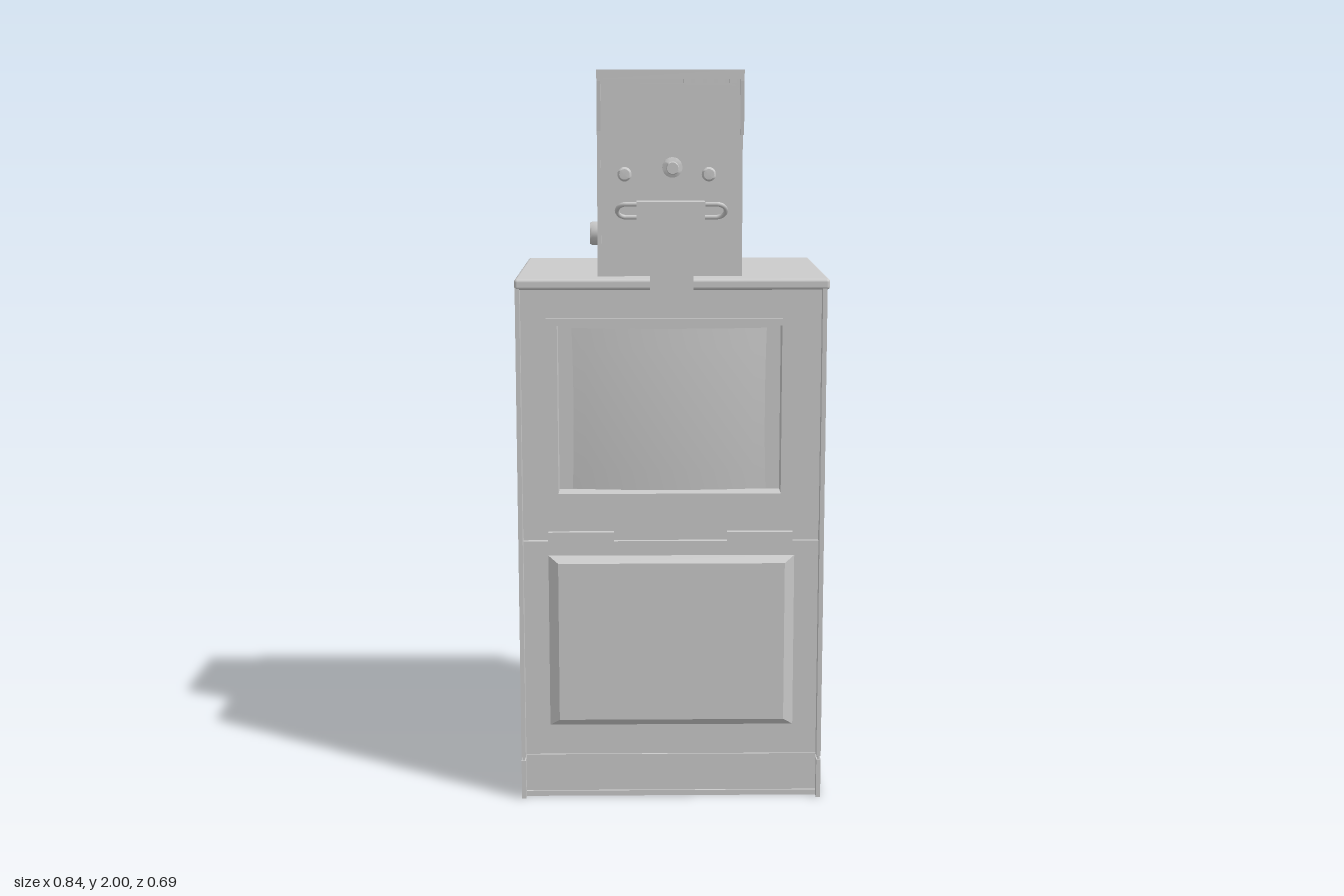
import * as THREE from 'three';
import { RoundedBoxGeometry } from 'three/addons/geometries/RoundedBoxGeometry.js';
import { toCreasedNormals } from 'three/addons/utils/BufferGeometryUtils.js';

export function createModel() {
  const model = new THREE.Group();
  const mat = new THREE.MeshStandardMaterial({ color: 0xcccccc, side: THREE.DoubleSide });

  function add(name, geo, x = 0, y = 0, z = 0) {
    const m = new THREE.Mesh(geo, mat);
    m.name = name;
    m.position.set(x, y, z);
    model.add(m);
    return m;
  }
  // box given by its limits on each axis
  const box = (name, x0, x1, y0, y1, z0, z1) =>
    add(name, new THREE.BoxGeometry(x1 - x0, y1 - y0, z1 - z0), (x0 + x1) / 2, (y0 + y1) / 2, (z0 + z1) / 2);
  const rect = (x0, x1, y0, y1, C = THREE.Shape) => new C([
    [x0, y0], [x1, y0], [x1, y1], [x0, y1]].map(p => new THREE.Vector2(...p)));
  const extrude = (shape, depth) =>
    new THREE.ExtrudeGeometry(shape, { depth, bevelEnabled: false, curveSegments: 6 });
  // rectangular plate with an opening
  function frame(name, outer, inner, z0, z1) {
    const s = rect(...outer);
    s.holes.push(rect(...inner, THREE.Path));
    add(name, extrude(s, z1 - z0), 0, 0, z0);
  }
  // turned part with its axis along z
  function turned(name, pts, x, y, z) {
    const g = new THREE.LatheGeometry(pts.map(p => new THREE.Vector2(...p)), 20);
    g.rotateX(Math.PI / 2);
    return add(name, toCreasedNormals(g, 0.6), x, y, z);
  }
  function rounded(x0, x1, y0, y1, r) {
    const s = new THREE.Shape();
    s.absarc(x1 - r, y1 - r, r, 0, Math.PI / 2);
    s.absarc(x0 + r, y1 - r, r, Math.PI / 2, Math.PI);
    s.absarc(x0 + r, y0 + r, r, Math.PI, 1.5 * Math.PI);
    s.absarc(x1 - r, y0 + r, r, 1.5 * Math.PI, 2 * Math.PI);
    return s;
  }

  // Cabinet: core, side panels standing proud of the front, base and lid
  const L = -0.42, R = 0.413, T = 0.012;
  box('cabinetCore', L + T, R - T, 0.12, 1.43, -0.335, 0.225);
  box('base', L + T, R - T, 0, 0.12, -0.31, 0.285);
  box('baseFoot', L + T, R - T, 0, 0.015, -0.31, 0.29);
  for (const x of [L, R - T]) {
    box('sidePanel', x, x + T, 0.12, 1.43, -0.335, 0.31);
    box('baseSide', x, x + T, 0, 0.11, -0.335, 0.31);
    box('baseSideSeam', x + 0.003, x + T - 0.003, 0.11, 0.12, -0.33, 0.305);
  }
  add('lid', new RoundedBoxGeometry(0.842, 0.03, 0.657, 3, 0.009), -0.001, 1.438, -0.0165);

  // Upper door with its window, frame and bowed display sheet
  const opening = [-0.31, 0.295, 0.865, 1.325];
  frame('upperDoor', [L + T, R - T, 0.76, 1.43], opening, 0.225, 0.28);
  frame('windowFrame', [-0.34, 0.325, 0.84, 1.345], opening, 0.275, 0.29);
  const sheet = new THREE.PlaneGeometry(0.53, 0.445, 16, 8);
  const p = sheet.attributes.position;
  for (let i = 0; i < p.count; i++) {
    const u = p.getX(i) / 0.265, v = p.getY(i) / 0.2225;
    p.setX(i, p.getX(i) * (1 - 0.015 * (1 - v * v)));
    p.setZ(i, 0.022 * (1 - u * u) + 0.006 * (1 - v * v));
  }
  sheet.computeVertexNormals();
  add('displaySheet', sheet, -0.008, 1.09, 0.232);

  // Lower door with raised, mitred panel
  box('lowerDoor', L + T, R - T, 0.12, 0.73, 0.225, 0.28);
  const panel = new THREE.CylinderGeometry(Math.SQRT1_2 * 0.92, Math.SQRT1_2, 1, 4, 1).toNonIndexed();
  panel.rotateY(Math.PI / 4).rotateX(Math.PI / 2).scale(0.675, 0.485, 0.016);
  panel.computeVertexNormals();
  add('lowerPanel', panel, -0.0025, 0.4475, 0.288);

  // Hinge gap between the doors
  box('hingeGap', L + T, R - T, 0.73, 0.76, 0.225, 0.265);
  for (const x of [-0.34, 0.15]) box('hinge', x, x + 0.18, 0.73, 0.755, 0.26, 0.282);

  // Coin head
  box('headCore', -0.197, 0.187, 1.455, 1.99, -0.078, 0.256);
  box('headTop', -0.2, 0.19, 1.975, 2, -0.08, 0.27);
  box('headBack', -0.2, 0.19, 1.455, 2, -0.08, -0.07);
  add('headFront', extrude(rounded(-0.185, 0.178, 1.47, 1.965, 0.025), 0.006), 0, 0, 0.256);
  const poly = pts => new THREE.Shape(pts.map(q => new THREE.Vector2(...q)));
  // side profiles are drawn as (-z, y) and turned to face +x
  function side(name, pts, x, t) {
    const g = extrude(poly(pts.map(([z, y]) => [-z, y])), t);
    g.rotateY(Math.PI / 2);
    add(name, g, x);
  }
  side('headRightSide', [[-0.08, 1.455], [0.262, 1.455], [0.262, 1.84], [0.273, 1.97], [0.273, 2], [-0.08, 2]], -0.2, 0.01);
  side('headLeftCover', [[-0.08, 1.455], [0.02, 1.455], [0.02, 1.83], [0.262, 1.83], [0.273, 1.97], [0.273, 2], [-0.08, 2]], 0.18, 0.01);
  for (let i = 0; i < 12; i++) {
    const x = -0.18 + i * 0.03;
    box('hoodTooth', x, x + 0.02, 1.965, 1.976, 0.25, 0.269);
  }

  // Lock, screws and coin return
  turned('lockKnob', [[0.027, 0], [0.027, 0.008], [0.016, 0.012], [0.015, 0.03], [0.01, 0.035],
    [0.01, 0.05], [0.017, 0.062], [0.015, 0.066], [0, 0.066]], 0, 1.745, 0.26);
  for (const x of [-0.127, 0.097])
    turned('screw', [[0.019, 0], [0.019, 0.01], [0.014, 0.015], [0, 0.016]], x, 1.727, 0.26);
  frame('coinReturnRim', [0.055, 0.115, 1.492, 1.546], [0.061, 0.109, 1.498, 1.54], 0.26, 0.27);

  // Tilted handle loop
  class Loop extends THREE.Curve {
    getPoint(t, out = new THREE.Vector3()) {
      const a = 2 * Math.PI * t, c = Math.cos(a), r = 0.026;
      // stadium: two half circles joined by straight bars
      const half = 0.118;
      return out.set(r * c + half * Math.max(-1, Math.min(1, c * 8)), r * Math.sin(a), 0);
    }
  }
  const handle = add('handleLoop', new THREE.TubeGeometry(new Loop(), 96, 0.006, 8, true), -0.003, 1.633, 0.305);
  handle.rotation.x = Math.PI / 4;

  // T-shaped latch hanging over the upper door
  box('latchHead', -0.095, 0.085, 1.578, 1.658, 0.262, 0.347);
  box('latchStem', -0.06, 0.054, 1.354, 1.578, 0.278, 0.346);
  box('latchMount', -0.055, 0.049, 1.46, 1.578, 0.256, 0.28);

  // Hollow round knob on the right side of the head
  turned('sideKnob', [[0.033, -0.005], [0.033, 0.022], [0.03, 0.028], [0.022, 0.028], [0.02, 0.008], [0, 0.008]],
    -0.2, 1.549, -0.027).rotation.y = -Math.PI / 2;

  return model;
}
